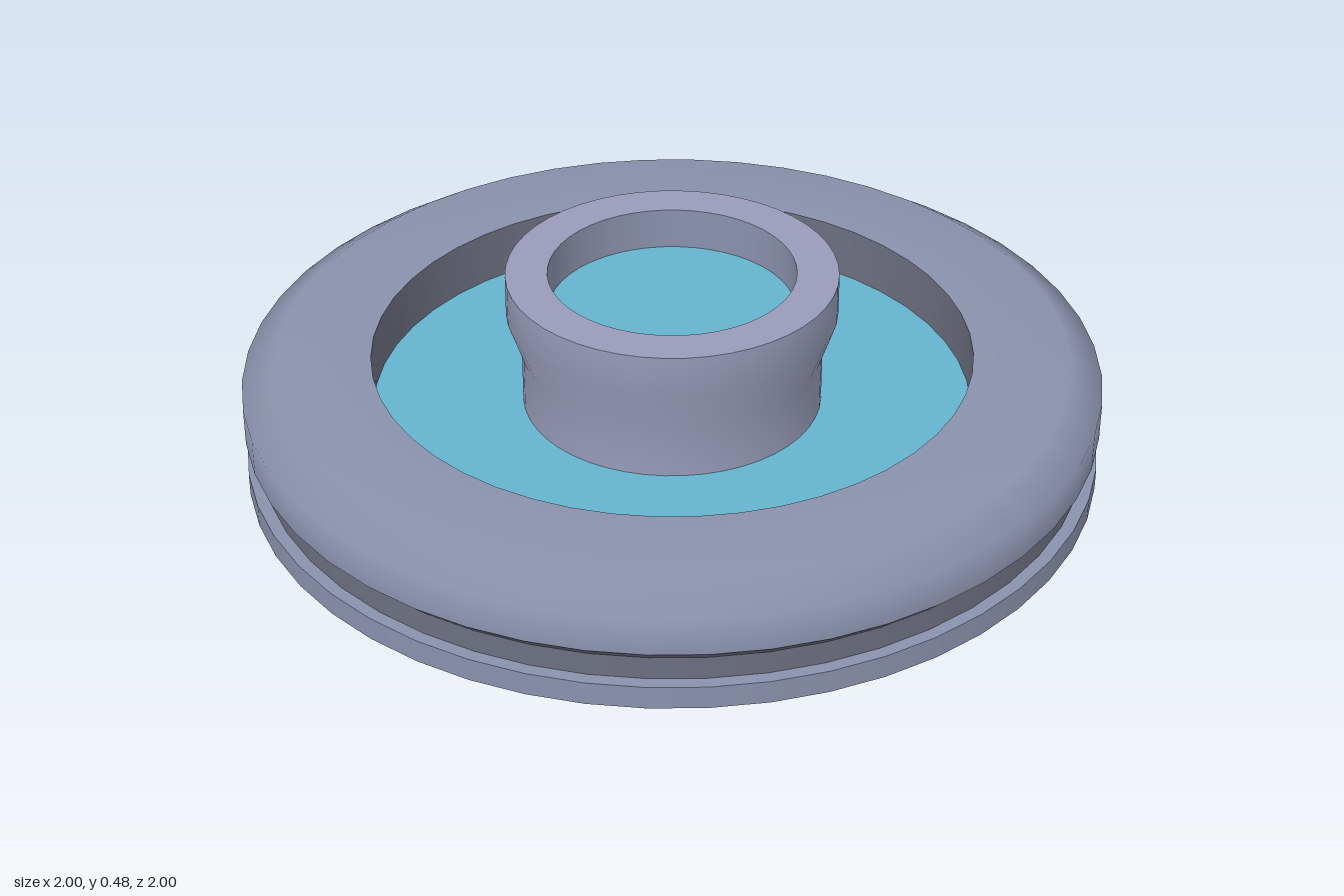
import * as THREE from 'three';
import { mergeGeometries } from 'three/addons/utils/BufferGeometryUtils.js';

const SEGMENTS = 48;
const slate = new THREE.MeshStandardMaterial({ color: 0x8a91ac });
const darkSlate = new THREE.MeshStandardMaterial({ color: 0x6c6f80 });
const paleSlate = new THREE.MeshStandardMaterial({ color: 0x989bb9 });
const teal = new THREE.MeshStandardMaterial({ color: 0x65b4ce });

// Lathes each run of [radius, height] points; shading is smooth within a run, sharp between runs.
function turned(name, material, runs) {
  const parts = runs.map(run =>
    new THREE.LatheGeometry(run.map(([r, y]) => new THREE.Vector2(r, y)), SEGMENTS));
  const mesh = new THREE.Mesh(mergeGeometries(parts), material);
  mesh.name = name;
  return mesh;
}

// Splits a profile into straight runs so that every corner stays sharp.
const sharp = points => points.slice(1).map((p, i) => [points[i], p]);

export function createModel() {
  const group = new THREE.Group();
  group.name = 'groovedDisc';
  const floorY = 0.148, capY = 0.38;

  // Underside with the ceiling and wall of its blind hole
  group.add(turned('underside', darkSlate, [
    [[0, 0.31], [0.347, 0.31]],
    [[0.347, 0], [1, 0]],
  ]));
  group.add(turned('socketWall', slate, [[[0.347, 0.31], [0.347, 0]]]));

  // Base flange, dark groove above it, rounded upper rim
  group.add(turned('baseFlange', slate, sharp([[1, 0], [1, 0.055], [0.97, 0.055]])));
  group.add(turned('groove', darkSlate, sharp([[0.97, 0.055], [0.97, 0.11], [1, 0.14]])));
  group.add(turned('rim', slate, [[[1, 0.14], [1, 0.23], [0.922, 0.28], [0.70, 0.28]]]));

  // Recess wall and its coloured floor
  group.add(turned('recessWall', darkSlate, [[[0.70, 0.28], [0.70, floorY]]]));
  group.add(turned('recessFloor', teal, [[[0.70, floorY], [0.35, floorY]]]));

  // Flared central hub with an open collar
  group.add(turned('hub', paleSlate, [
    [[0.35, floorY], [0.35, 0.28], [0.384, capY], [0.384, 0.48]],
    [[0.384, 0.48], [0.287, 0.48]],
  ]));
  group.add(turned('collarWall', slate, [[[0.287, 0.48], [0.287, capY]]]));

  // Coloured cap inside the collar
  group.add(turned('hubCap', teal, [[[0.287, capY], [0, capY]]]));

  return group;
}
